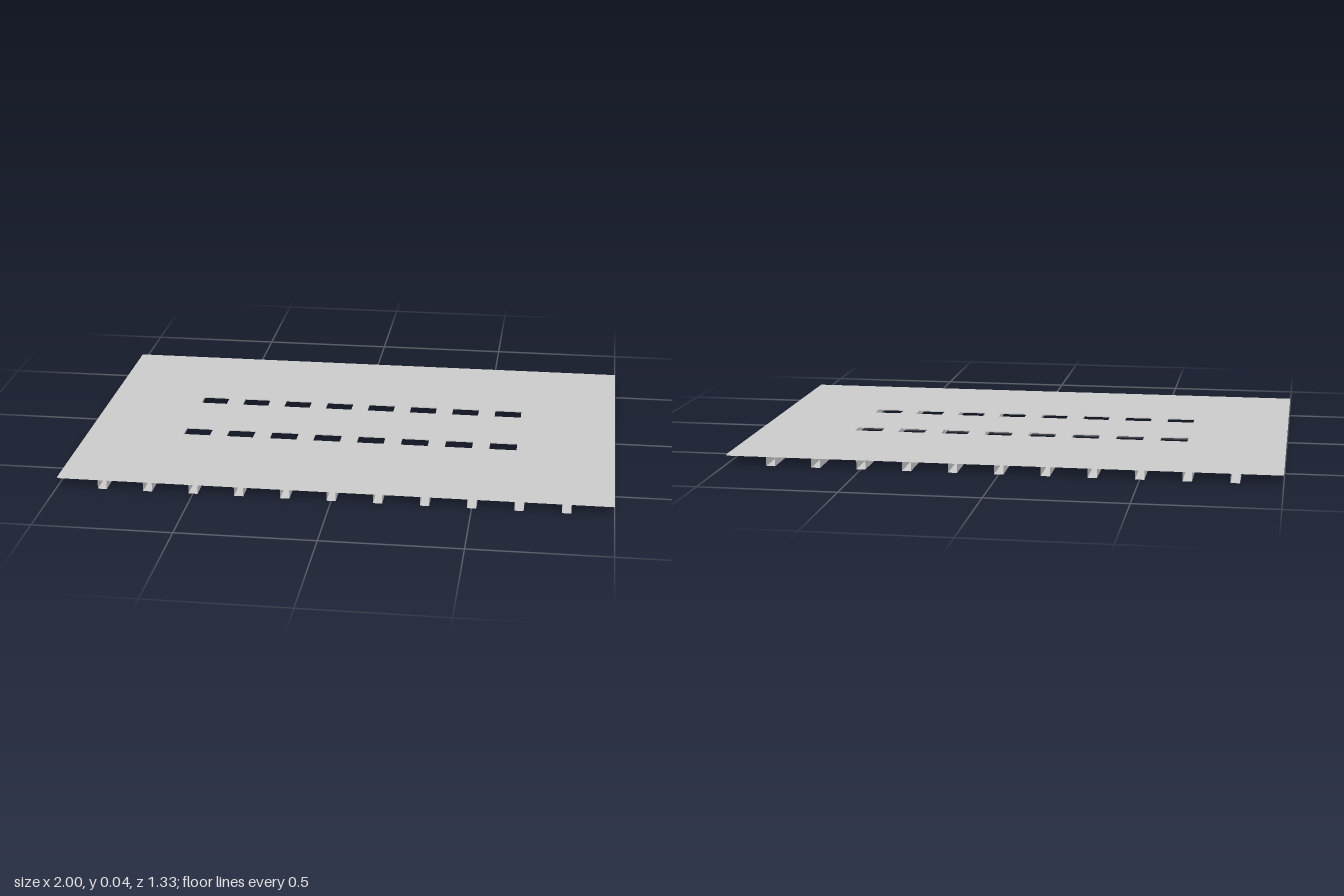
import * as THREE from 'three';

const W = 2, D = 1.333, PITCH = W / 12;
const JOIST_H = 0.033, JOIST_W = 0.033, TOP = 0.037;
const HOLE_W = 0.102, HOLE_D = 0.065, HOLE_Z = 0.168;

// Four-sided open tube, axis along y, outer size w x h x d
function openTube(w, h, d) {
  const g = new THREE.CylinderGeometry(Math.SQRT1_2, Math.SQRT1_2, 1, 4, 1, true);
  g.rotateY(Math.PI / 4);
  g.scale(w, h, d);
  const flat = g.toNonIndexed();
  flat.computeVertexNormals();
  return flat;
}

export function createModel() {
  const model = new THREE.Group();
  model.name = 'deck';
  const mat = new THREE.MeshStandardMaterial({ color: 0xcccccc, side: THREE.DoubleSide });

  const add = (name, geo, x, y, z) => {
    const mesh = new THREE.Mesh(geo, mat);
    mesh.name = name;
    mesh.position.set(x, y, z);
    model.add(mesh);
  };

  // Two rows of eight openings
  const holes = [];
  for (const z of [-HOLE_Z, HOLE_Z]) {
    for (let i = 0; i < 8; i++) holes.push([(i - 3.5) * PITCH, z]);
  }

  // Deck sheet outline, pierced by the openings
  const rect = (s, x, y, w, h) => s
    .moveTo(x - w / 2, y - h / 2).lineTo(x + w / 2, y - h / 2)
    .lineTo(x + w / 2, y + h / 2).lineTo(x - w / 2, y + h / 2).closePath();
  const outline = new THREE.Shape();
  rect(outline, 0, 0, W, D);
  for (const [x, z] of holes) {
    const hole = new THREE.Path();
    rect(hole, x, -z, HOLE_W, HOLE_D);
    outline.holes.push(hole);
  }

  // Upper and lower faces of the thin deck, open at the outer edge
  const topFace = new THREE.ShapeGeometry(outline).rotateX(-Math.PI / 2);
  add('deckTop', topFace, 0, TOP, 0);
  const underside = new THREE.ShapeGeometry(outline).rotateX(Math.PI / 2);
  add('deckUnderside', underside, 0, JOIST_H, 0);

  // Thin walls lining each opening
  const lining = openTube(HOLE_W, TOP - JOIST_H, HOLE_D);
  for (const [x, z] of holes) add('openingLining', lining, x, (TOP + JOIST_H) / 2, z);

  // Eleven open-ended joists running front to back
  const joist = openTube(JOIST_W, D, JOIST_H).rotateX(Math.PI / 2);
  for (let i = -5; i <= 5; i++) add('joist', joist, i * PITCH, JOIST_H / 2, 0);

  return model;
}
